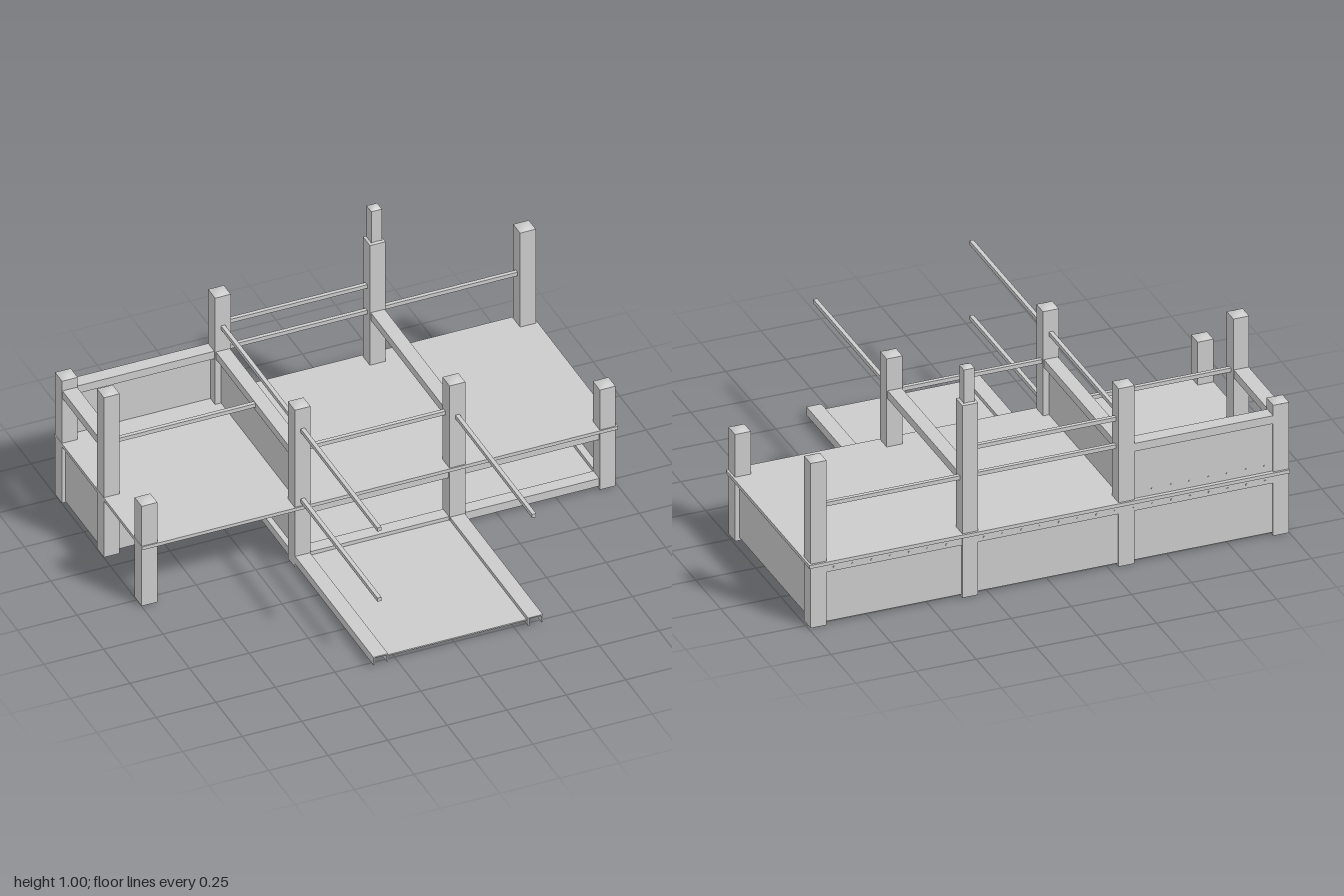
import * as THREE from 'three';

export function createModel() {
  const model = new THREE.Group();
  const flat = new THREE.MeshStandardMaterial({ color: 0xcccccc, flatShading: true, side: THREE.DoubleSide });
  const smooth = new THREE.MeshStandardMaterial({ color: 0xcccccc, side: THREE.DoubleSide });

  function add(name, geometry, x, y, z, mat = flat) {
    const mesh = new THREE.Mesh(geometry, mat);
    mesh.position.set(x, y, z);
    mesh.name = name;
    model.add(mesh);
  }
  // box given by its min/max on each axis
  function box(name, [x0, x1], [y0, y1], [z0, z1]) {
    const g = new THREE.BoxGeometry(x1 - x0, y1 - y0, z1 - z0);
    add(name, g, (x0 + x1) / 2, (y0 + y1) / 2, (z0 + z1) / 2);
  }
  const around = (c, w) => [c - w / 2, c + w / 2];

  const X = [-0.966, -0.323, 0.327, 0.958]; // post columns
  const F = 0.012, M = -0.345, B = -0.743; // front, middle and back rows
  const W = 0.066, H = W / 2;

  // hollow square post, open at the foot, with a softly domed top
  function post(name, x, z, y0, y1, w = W) {
    const dome = 0.009, h = y1 - dome - y0;
    const tube = new THREE.CylinderGeometry(w * Math.SQRT1_2, w * Math.SQRT1_2, h, 4, 1, true);
    add(name, tube.rotateY(Math.PI / 4), x, y0 + h / 2, z);
    const top = new THREE.PlaneGeometry(w, w, 6, 6).rotateX(-Math.PI / 2);
    const p = top.attributes.position;
    for (let i = 0; i < p.count; i++) {
      const u = (2 * p.getX(i)) / w, v = (2 * p.getZ(i)) / w;
      p.setY(i, dome * (1 - u * u) * (1 - v * v));
    }
    top.computeVertexNormals();
    add(name + 'Top', top, x, y1 - dome, z, smooth);
  }
  [0.476, 0.744, 0.674, 0.476].forEach((h, i) => post('frontPost', X[i], F, 0, h));
  [0.58, 0.787, 0.849, 0.729].forEach((h, i) => post('backPost', X[i], B, 0, h));
  post('middlePost', X[0], M, 0, 0.757);
  post('thinPostExtension', X[2], B, 0.84, 0.998, 0.045);

  // downward-open channel beams, running along x or along z
  const lid = [0.045, 0.05], leg = [0.014, 0.045], t = 0.006;
  function channelX(name, span, z, w) {
    box(name, span, lid, around(z, w));
    for (const s of [-1, 1]) box(name + 'Leg', span, leg, around(z + (s * (w - t)) / 2, t));
  }
  function channelZ(name, x, w, span) {
    box(name, around(x, w), lid, span);
    for (const s of [-1, 1]) box(name + 'Leg', around(x + (s * (w - t)) / 2, t), leg, span);
  }

  // deck
  box('deck', [-1, 1], [0.265, 0.28], [-0.785, 0.05]);

  // frames between posts: front bays left open, back and side bays panelled
  const depth = [B + H, F - H];
  for (let i = 0; i < 3; i++) {
    const span = [X[i] + H, X[i + 1] - H];
    if (i > 0) {
      box('frontTopRail', span, [0.23, 0.265], around(F, 0.05));
      channelX('frontBottomRail', span, F, 0.055);
      channelX('backBottomRail', span, B + 0.006, 0.05);
    }
    box('backPanel', span, [0.012, 0.23], [-0.768, -0.756]);
    box('backTopRail', span, [0.23, 0.265], [-0.774, -0.72]);
  }
  box('backStud', around(-0.005, 0.04), [0.05, 0.23], [-0.756, -0.72]);
  box('sidePanel', [0.96, 0.972], [0.012, 0.265], depth);
  channelZ('sideBottomRail', X[3] - 0.012, 0.03, depth);
  channelZ('crossBeam', X[1], 0.06, depth);

  // floor of the enclosure, set up inside its frame, with a round plug
  const floorY = [0.028, 0.034];
  box('lowerFloor', [X[1] + 0.03, X[3] - 0.027], floorY, [B + 0.031, F - 0.0275]);
  add('floorPlug', new THREE.CylinderGeometry(0.015, 0.015, 0.006, 16), 0.315, 0.027, -0.37);

  // closet below the deck, open underneath
  box('closetFront', [X[0] + H, X[1] - H], [0.003, 0.265], around(M, 0.015));
  box('closetSide', around(X[0] - 0.01, 0.015), [0.003, 0.265], [B + H, M - H]);
  box('dividerLower', around(X[1], 0.015), [0.05, 0.265], depth);

  // raised walls and wide rails above the deck
  box('dividerUpper', around(X[1], 0.015), [0.28, 0.49], depth);
  box('backWallUpper', [X[0] + H, X[1] - H], [0.28, 0.49], [-0.768, -0.755]);
  box('backWallRail', [X[0] + H, X[1] - H], [0.49, 0.525], around(B - 0.003, 0.058));
  for (const x of [X[1], X[2]]) box('wideRail', around(x, 0.058), [0.49, 0.525], depth);
  box('cornerRail', around(X[0], 0.062), [0.49, 0.525], [B + H, M - H]);

  // thin rails
  const T = 0.017;
  const railX = (a, b, y, z) => box('thinRail', [a, b], around(y, T), around(z, T));
  const railZ = (x, y, a, b) => box('handRail', around(x, T), around(y, T), [a, b]);
  railX(X[1] + H, X[2] - H, 0.633, B);
  railX(X[1] + H, X[2] - H, 0.513, B);
  railX(X[2] + H, X[3] - H, 0.513, B);
  railX(X[1] + H, X[2] - H, 0.513, -0.003);
  railX(X[0] + H, X[1] - 0.025, 0.513, M);
  railZ(X[1], 0.633, ...depth);
  railZ(X[1], 0.633, F + H, 0.773);
  railZ(X[1], 0.305, F + H, 0.773);
  railZ(X[2], 0.513, F + H, 0.773);

  // front platform with channel side beams
  box('platformFloor', [X[1] + 0.031, X[2] - 0.031], floorY, [F + 0.0275, 0.77]);
  for (const x of [X[1], X[2]]) channelZ('platformBeam', x, 0.062, [F + H, 0.785]);

  // screw heads along the back
  const screw = new THREE.CylinderGeometry(0.004, 0.004, 0.004, 8).rotateX(Math.PI / 2);
  for (let i = 0; i < 24; i++) {
    const x = -0.9 + i * 0.078;
    add('screw', screw, x, 0.247, -0.775);
    if (x < X[1] - H) add('screw', screw, x, 0.31, -0.769);
  }
  return model;
}
